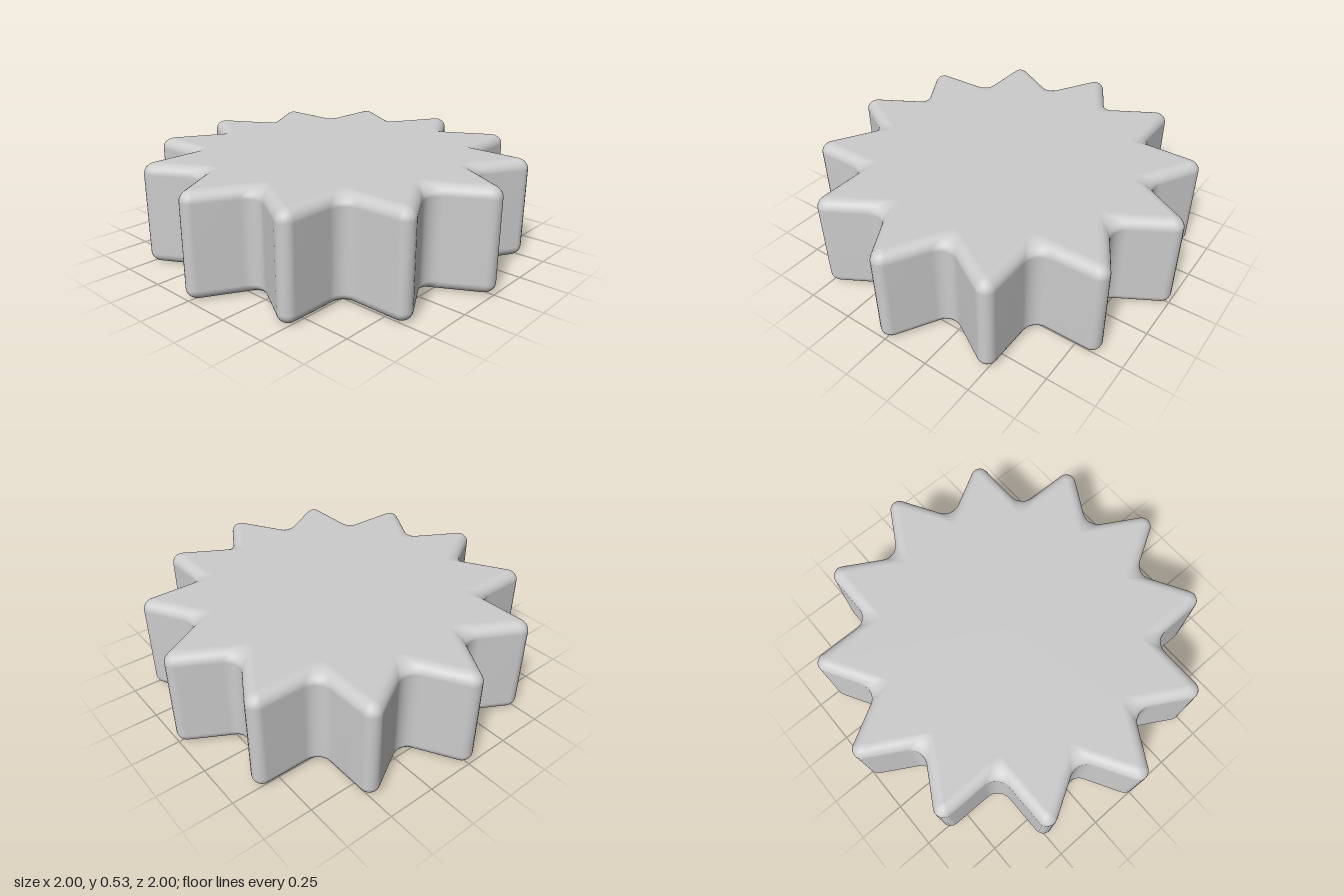
import * as THREE from 'three';

const TEETH = 12, ARC = 6, BEVEL = 8;
const HEIGHT = 0.53, INSET = 0.057, DROP = 0.055;
const EDGE = 0.525; // distance of every tooth flank from the axis

// Star outline with rounded tips and filleted valleys; k = 0 at the wall, 1 at the cap
function outline(k) {
  const h = EDGE - INSET * k;
  const tipR = 0.05 - 0.048 * k, valleyR = 0.085 - 0.06 * k;
  const points = [];
  const add = (angle, dist, dir, r) => points.push([
    Math.sin(angle) * dist + Math.sin(dir) * r,
    Math.cos(angle) * dist + Math.cos(dir) * r,
  ]);
  for (let t = 0; t < TEETH; t++) {
    const tip = (t / TEETH) * Math.PI * 2, valley = tip + Math.PI / TEETH;
    for (let i = 0; i <= ARC; i++) {
      add(tip, 2 * (h - tipR), tip + (i / ARC * 2 - 1) * Math.PI / 3, tipR);
    }
    for (let i = 0; i <= ARC; i++) {
      add(valley, Math.SQRT2 * (h + valleyR), valley + Math.PI + (1 - i / ARC * 2) * Math.PI / 4, valleyR);
    }
  }
  return points;
}

function geometryFrom(pos, index) {
  const g = new THREE.BufferGeometry();
  g.setAttribute('position', new THREE.Float32BufferAttribute(pos, 3));
  g.setIndex(index);
  g.computeVertexNormals();
  return g;
}

export function createModel() {
  const group = new THREE.Group();
  group.name = 'starGear';
  const material = new THREE.MeshStandardMaterial({ color: 0xcccccc });
  const addPart = (name, pos, index) => {
    const mesh = new THREE.Mesh(geometryFrom(pos, index), material);
    mesh.name = name;
    group.add(mesh);
  };

  // Rings from the bottom rim, up the wall, to the top rim
  const rings = [];
  for (let i = 0; i <= BEVEL; i++) {
    const a = (i / BEVEL) * Math.PI / 2;
    rings.push({ k: 1 - Math.sin(a), y: DROP * (1 - Math.cos(a)) });
  }
  for (let i = BEVEL; i >= 0; i--) rings.push({ k: rings[i].k, y: HEIGHT - rings[i].y });

  // Toothed wall with rounded rims
  const pos = [], index = [];
  for (const { k, y } of rings) for (const [x, z] of outline(k)) pos.push(x, y, z);
  const n = pos.length / 3 / rings.length;
  for (let r = 0; r < rings.length - 1; r++) {
    for (let j = 0; j < n; j++) {
      const a = r * n + j, b = r * n + (j + 1) % n;
      index.push(a, b, b + n, a, b + n, a + n);
    }
  }
  addPart('toothedWall', pos, index);

  // Flat caps, fanned from the centre
  for (const [name, y, up] of [['topFace', HEIGHT, true], ['bottomFace', 0, false]]) {
    const capPos = [0, y, 0], capIndex = [];
    outline(1).forEach(([x, z], j) => {
      capPos.push(x, y, z);
      const a = 1 + j, b = 1 + (j + 1) % n;
      capIndex.push(0, up ? a : b, up ? b : a);
    });
    addPart(name, capPos, capIndex);
  }
  return group;
}
